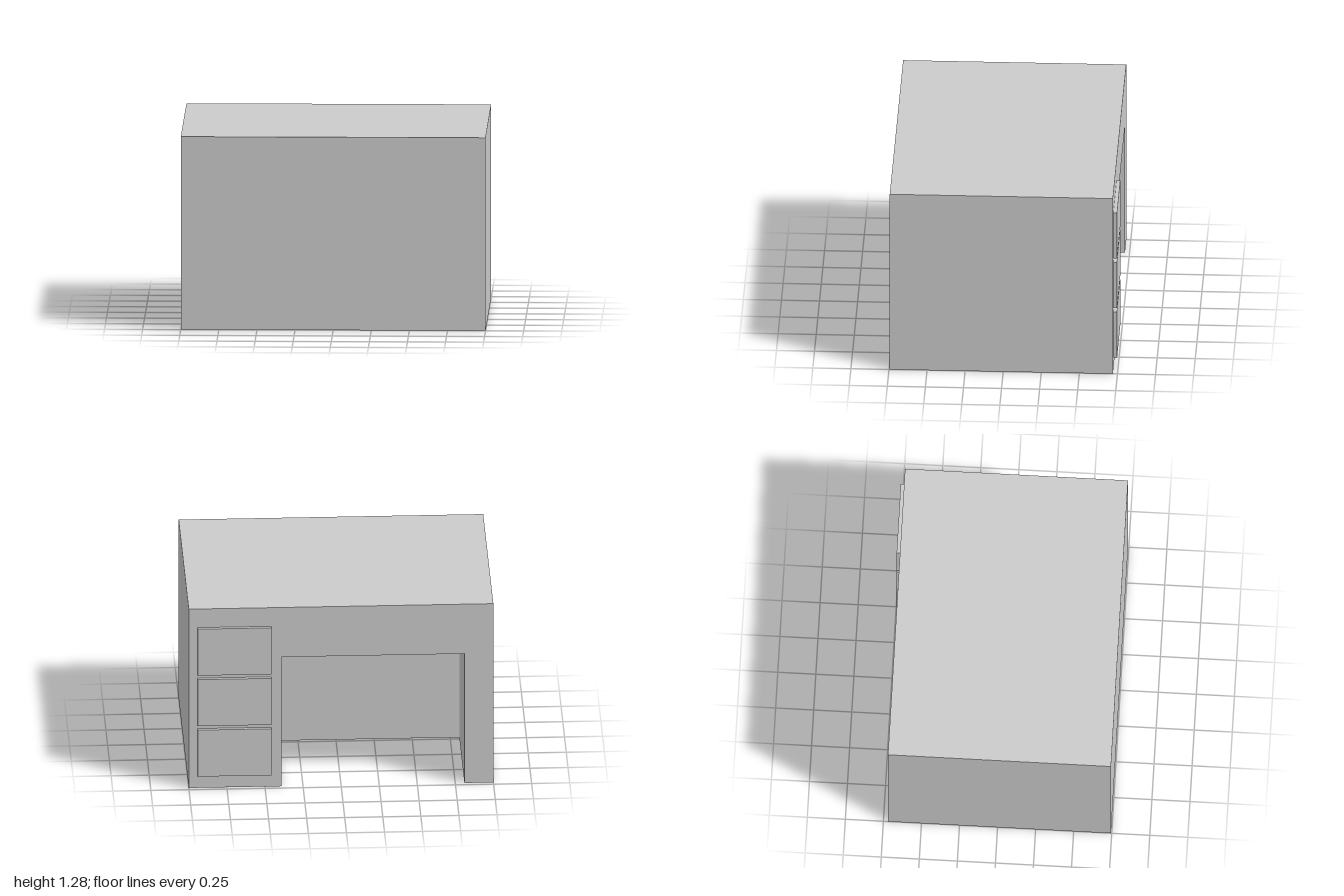
import * as THREE from 'three';

const LEFT = 1, RIGHT = -1, FRONT = 0.745, BACK = -0.72, HEIGHT = 1.28;
// Knee hole, open to the back
const HOLE = { left: 0.39, right: -0.81, front: 0.025, top: 0.925 };

export function createModel() {
  const desk = new THREE.Group();
  desk.name = 'desk';
  const material = new THREE.MeshStandardMaterial({ color: 0xcccccc, flatShading: true });

  function add(name, geometry, x = 0, y = 0, z = 0) {
    const mesh = new THREE.Mesh(geometry, material);
    mesh.name = name;
    mesh.position.set(x, y, z);
    desk.add(mesh);
  }

  // Pedestal base: U-shaped floor plan extruded up to the top of the knee hole
  const plan = new THREE.Shape([
    [RIGHT, FRONT], [LEFT, FRONT], [LEFT, BACK], [HOLE.left, BACK],
    [HOLE.left, HOLE.front], [HOLE.right, HOLE.front], [HOLE.right, BACK], [RIGHT, BACK],
  ].map(([x, z]) => new THREE.Vector2(x, -z)));
  const base = new THREE.ExtrudeGeometry(plan, { depth: HOLE.top, bevelEnabled: false });
  base.rotateX(-Math.PI / 2);
  add('pedestalBase', base);

  // Thick top block spanning the knee hole
  const topHeight = HEIGHT - HOLE.top;
  add('deskTop', new THREE.BoxGeometry(LEFT - RIGHT, topHeight, FRONT - BACK),
    0, HOLE.top + topHeight / 2, (FRONT + BACK) / 2);

  // Three drawer fronts standing proud of the pedestal
  const drawer = new THREE.BoxGeometry(0.484, 0.333, 0.025);
  ['lowerDrawer', 'middleDrawer', 'upperDrawer'].forEach((name, i) => {
    add(name, drawer, 0.7, 0.257 + i * 0.3615, BACK - 0.0125);
  });

  return desk;
}
